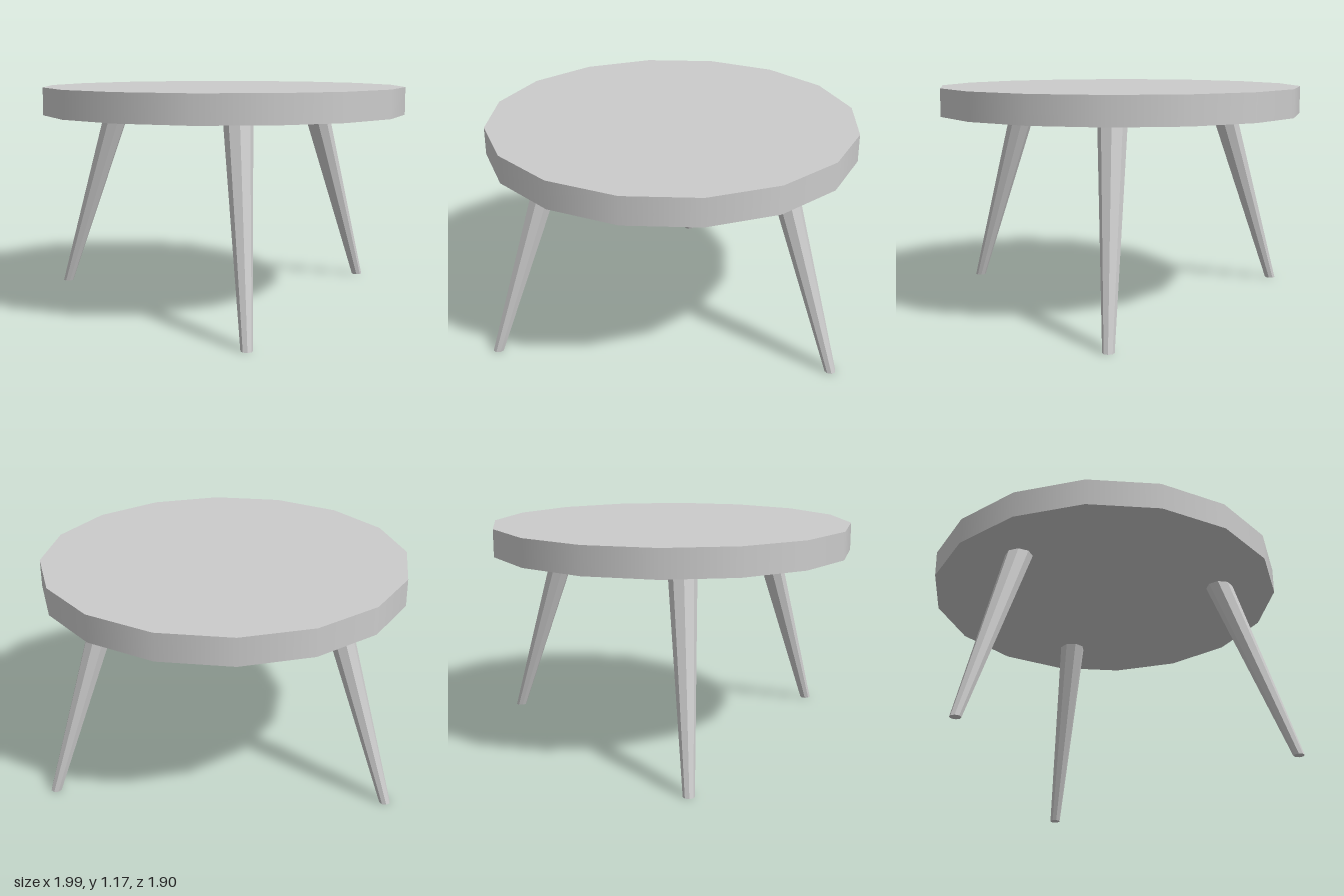
import * as THREE from 'three';

const TOP_Y = 1.17, UNDER_Y = 1.025;
const CENTER_X = 0.047;

export function createModel() {
  const table = new THREE.Group();
  table.name = 'threeLeggedTable';
  const smooth = new THREE.MeshStandardMaterial({ color: 0xcccccc });
  const faceted = new THREE.MeshStandardMaterial({ color: 0xcccccc, flatShading: true });

  // Sixteen-sided tabletop with a smooth rim
  const thickness = TOP_Y - UNDER_Y;
  const tabletop = new THREE.Mesh(
    new THREE.CylinderGeometry(0.967, 0.967, thickness, 16, 1, false, THREE.MathUtils.degToRad(79.4)),
    smooth
  );
  tabletop.name = 'tabletop';
  tabletop.position.set(CENTER_X, UNDER_Y + thickness / 2, 0);
  table.add(tabletop);

  // Tapered octagonal leg, sheared outward so both ends stay level
  const legGeometry = new THREE.CylinderGeometry(0.073, 0.029, UNDER_Y, 8);
  legGeometry.translate(0, UNDER_Y / 2, 0);
  const pos = legGeometry.attributes.position;
  for (let i = 0; i < pos.count; i++) {
    const t = pos.getY(i) / UNDER_Y;
    pos.setX(i, pos.getX(i) + THREE.MathUtils.lerp(1.016, 0.663, t));
  }
  legGeometry.computeVertexNormals();

  // Three legs spaced evenly around the tabletop centre
  ['frontLeftLeg', 'rightLeg', 'backLeftLeg'].forEach((name, i) => {
    const leg = new THREE.Mesh(legGeometry, faceted);
    leg.name = name;
    leg.position.x = CENTER_X;
    leg.rotation.y = -THREE.MathUtils.degToRad(62.8 + 120 * i);
    table.add(leg);
  });

  return table;
}
